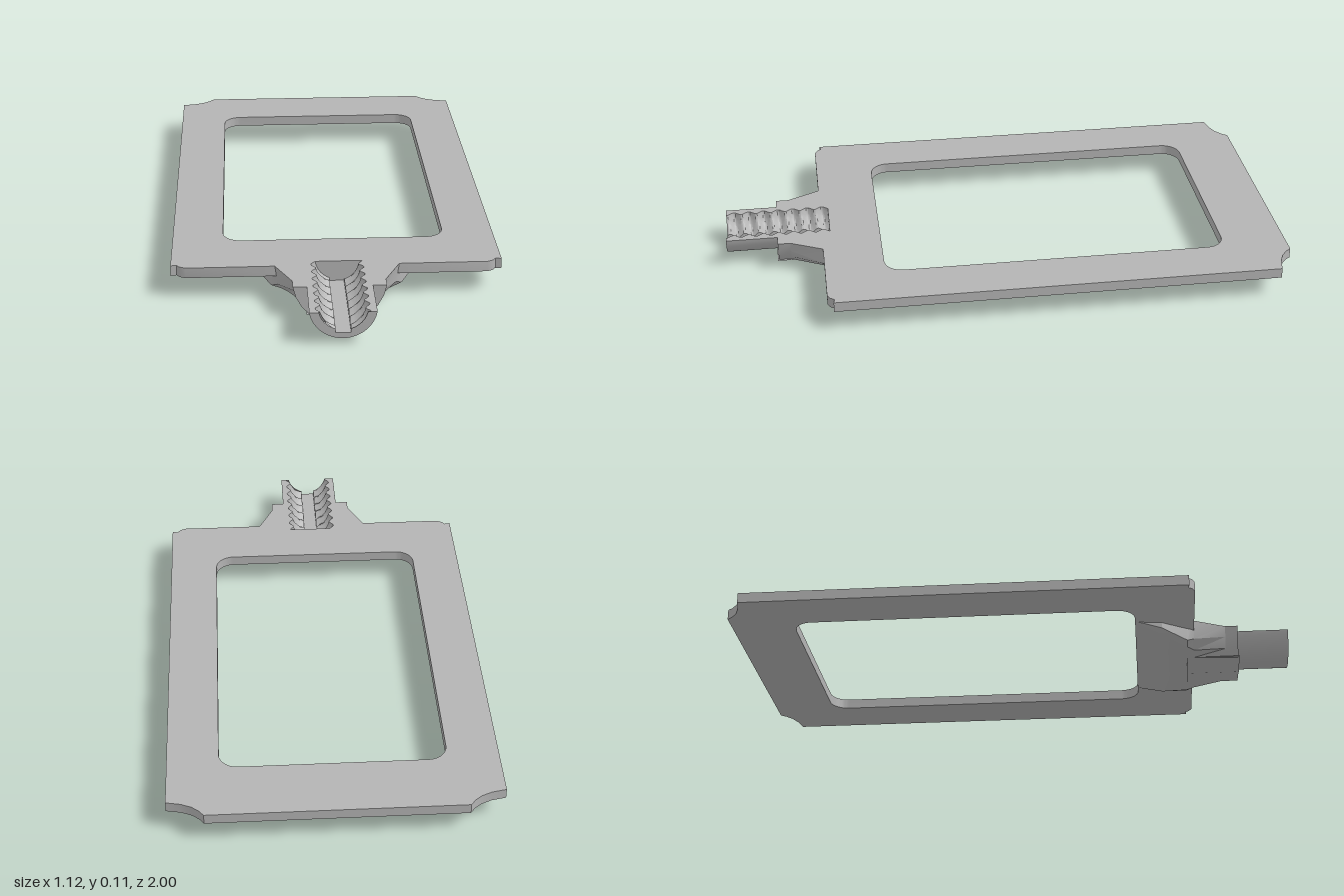
import * as THREE from 'three';
import { toCreasedNormals } from 'three/addons/utils/BufferGeometryUtils.js';

const TOP = 0.113, AXIS = 0.13; // flat top face, height of the threaded bore axis
const TUBE_R = 0.11, MINOR = 0.075, MAJOR = 0.09;
const SLOT_X = 0.025, SLOT_Y = 0.04;

// Surface through a row of open cross-sections, each a list of [x, y, z]
function loft(rings, crease = 0.5) {
  const n = rings[0].length, index = [];
  for (let i = 0; i < rings.length - 1; i++) {
    for (let j = 0; j < n - 1; j++) {
      const a = i * n + j, b = a + 1, c = a + n, d = c + 1;
      index.push(a, b, c, b, d, c);
    }
  }
  const geo = new THREE.BufferGeometry();
  geo.setAttribute('position', new THREE.Float32BufferAttribute(rings.flat(2), 3));
  geo.setIndex(index);
  return toCreasedNormals(geo, crease);
}

// Lower arc about the bore axis, from the left top edge to the right one
function lowerArc(r, steps = 28) {
  const start = Math.asin((AXIS - TOP) / r);
  return Array.from({ length: steps + 1 }, (_, i) => {
    const a = start + (Math.PI - 2 * start) * i / steps;
    return [-r * Math.cos(a), AXIS - r * Math.sin(a)];
  });
}

// Bore outline with a keyway at the bottom; radius may vary with angle and side
function borePoints(radius, steps = 12) {
  const side = (s) => Array.from({ length: steps + 1 }, (_, i) => {
    const t = i / steps;
    const r = radius(s > 0 ? Math.PI - t * 1.2 : t * 1.2);
    const a = THREE.MathUtils.lerp(Math.asin((AXIS - TOP) / r), Math.acos(SLOT_X / r), t);
    return [s * r * Math.cos(a), AXIS - r * Math.sin(a)];
  });
  return [...side(-1), [-SLOT_X, SLOT_Y], [SLOT_X, SLOT_Y], ...side(1).reverse()];
}

const toShape = (pts) => new THREE.Shape(pts.map(([x, y]) => new THREE.Vector2(x, y)));
const mirrored = (half) => [...half.slice(1).reverse().map(([x, y]) => [-x, y]), ...half];

export function createModel() {
  const group = new THREE.Group();
  const grey = new THREE.MeshStandardMaterial({ color: 0xb4b4b4, side: THREE.DoubleSide });
  const add = (name, geo) => {
    const mesh = new THREE.Mesh(geo, grey);
    mesh.name = name;
    group.add(mesh);
  };

  // Flat frame with clipped corners and a notch for the bore
  const half = [
    [MAJOR, 0.625], [MAJOR, 0.655], [0.51, 0.655], [0.53, 0.645], [0.54, 0.631], [0.56, 0.635],
    [0.56, -0.935], [0.51, -0.945], [0.475, -0.96], [0.45, -0.98], [0.435, -1],
  ];
  const frame = toShape([...half, ...half.map(([x, z]) => [-x, z]).reverse()]);
  const hole = new THREE.Path();
  const hx = 0.385, z0 = -0.775, z1 = 0.445, r = 0.065;
  hole.absarc(hx - r, z1 - r, r, 0, Math.PI / 2);
  hole.absarc(-hx + r, z1 - r, r, Math.PI / 2, Math.PI);
  hole.absarc(-hx + r, z0 + r, r, Math.PI, Math.PI * 1.5);
  hole.absarc(hx - r, z0 + r, r, Math.PI * 1.5, Math.PI * 2);
  frame.holes.push(hole);
  const plate = new THREE.ExtrudeGeometry(frame, { depth: 0.037, bevelEnabled: false, curveSegments: 8 });
  plate.rotateX(Math.PI / 2).translate(0, TOP, 0);
  add('frame', toCreasedNormals(plate, 0.5));

  // Fan-shaped housing narrowing from the frame to the neck
  const neck = [[0, 0.012], [0.1, 0.012], [0.125, 0.038], [0.145, 0.075], [0.155, TOP]];
  const sections = [
    [0.45, [[0, 0.074], [0.15, 0.074], [0.28, 0.074], [0.29, 0.078], [0.29, 0.1]]],
    [0.54, [[0, 0.042], [0.13, 0.042], [0.25, 0.042], [0.278, 0.055], [0.278, 0.1]]],
    [0.63, [[0, 0.016], [0.11, 0.016], [0.19, 0.018], [0.222, 0.03], [0.222, 0.1]]],
    [0.655, [[0, 0.013], [0.11, 0.013], [0.165, 0.016], [0.2, 0.045], [0.21, TOP]]],
    [0.77, neck],
    [0.815, neck],
  ];
  add('housing', loft(sections.map(([z, pts]) => mirrored(pts).map(([x, y]) => [x, y, z])), 0.3));

  // Front face of the housing around the tube
  const face = toShape([...mirrored(neck), ...lowerArc(0.1).reverse()]);
  add('housingFace', new THREE.ShapeGeometry(face).translate(0, 0, 0.815));

  // Shallow raised pad beneath the housing
  const pad = toShape([[-0.11, 0.014], [-0.04, 0.009], [0, 0], [0.04, 0.009], [0.11, 0.014]]);
  add('bottomPad', new THREE.ExtrudeGeometry(pad, { depth: 0.19, bevelEnabled: false }).translate(0, 0, 0.63));

  // Half tube and its end face
  add('tube', loft([0.815, 1].map((z) => lowerArc(TUBE_R).map(([x, y]) => [x, y, z]))));
  const end = toShape([...lowerArc(TUBE_R), ...borePoints(() => 0.08).reverse()]);
  add('tubeEnd', new THREE.ShapeGeometry(end).translate(0, 0, 1));

  // Flat top strips of the neck and tube, either side of the bore
  for (const s of [-1, 1]) {
    const strip = toShape([
      [MAJOR, 0.655], [0.21, 0.655], [0.155, 0.77], [0.155, 0.815],
      [0.1086, 0.815], [0.1086, 1], [MAJOR, 1],
    ].map(([x, z]) => [s * x, z]));
    add(s < 0 ? 'rightTopStrip' : 'leftTopStrip',
      new THREE.ShapeGeometry(strip).rotateX(Math.PI / 2).translate(0, TOP, 0));
  }

  // Helical thread with a trapezoid tooth, cut by the keyway
  const pitch = 0.054, rows = 56, rings = [];
  for (let i = 0; i <= rows; i++) {
    const z = 0.625 + 0.375 * i / rows;
    const radius = (a) => {
      const p = z / pitch + a / (2 * Math.PI);
      const tri = Math.abs((p - Math.floor(p)) * 2 - 1);
      return MINOR + (MAJOR - MINOR) * THREE.MathUtils.clamp(tri * 1.5 - 0.25, 0, 1);
    };
    const bore = [[-MAJOR, TOP], ...borePoints(radius), [MAJOR, TOP]];
    rings.push(bore.map(([x, y]) => [x, y, z]));
  }
  add('thread', loft(rings, 0.4));

  // Blind end of the bore
  add('boreEnd', new THREE.ShapeGeometry(toShape(borePoints(() => MAJOR))).translate(0, 0, 0.625));

  return group;
}
